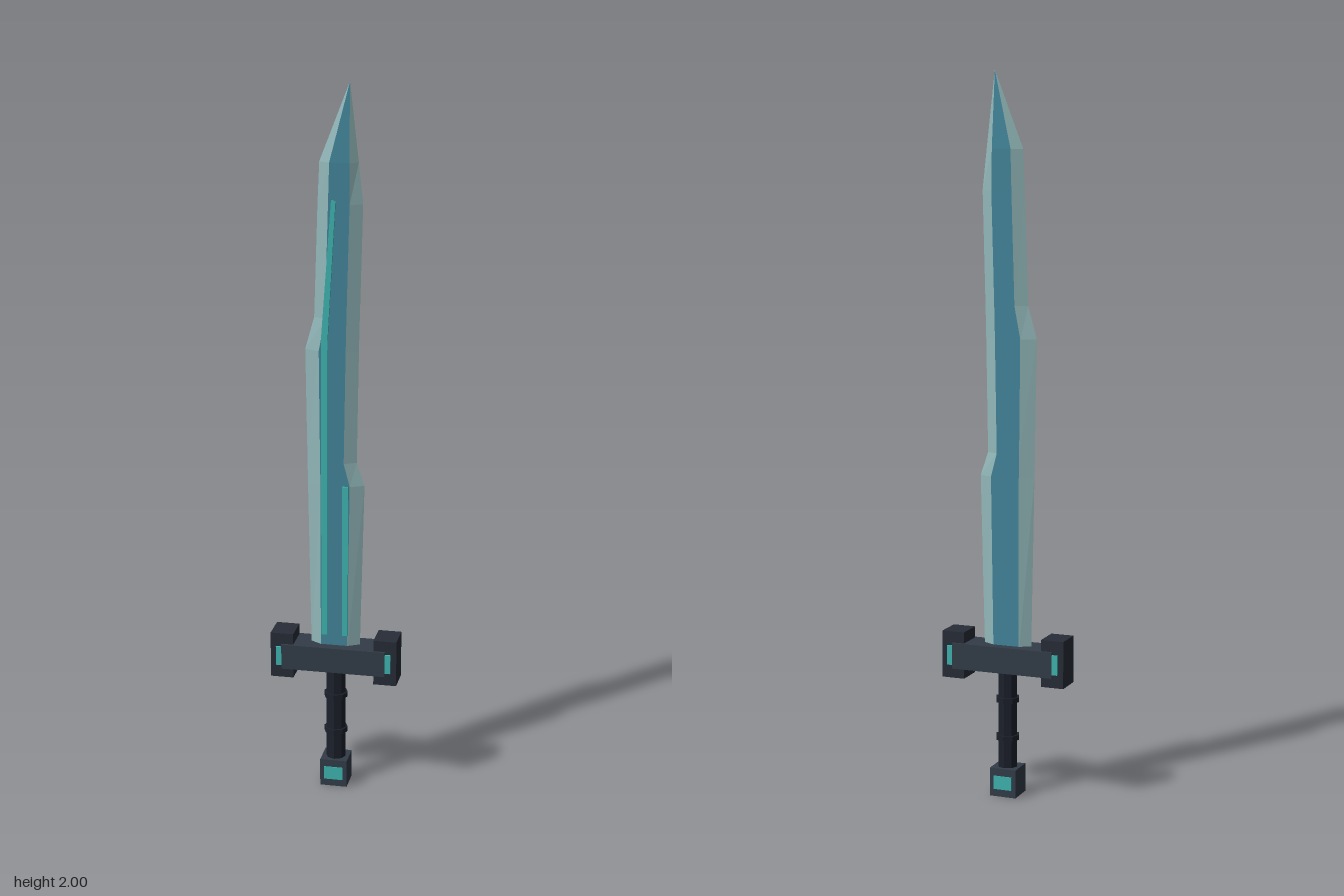
import * as THREE from 'three';

const material = (color) => new THREE.MeshStandardMaterial({ color, flatShading: true });
const edgeMat = material(0x93b8ba);
const coreMat = material(0x43859a);
const glowMat = material(0x3fb5b0);
const guardMat = material(0x323c48);
const blockMat = material(0x272d37);
const gripMat = material(0x1c212b);

function add(group, name, geometry, mat, x = 0, y = 0, z = 0) {
  const mesh = new THREE.Mesh(geometry, mat);
  mesh.name = name;
  mesh.position.set(x, y, z);
  group.add(mesh);
  return mesh;
}

function box(group, name, mat, [w, h, d], [x, y, z]) {
  return add(group, name, new THREE.BoxGeometry(w, h, d), mat, x, y, z);
}

// Blade sections: height, left edge, left ridge, right ridge, right edge, half thickness
const SECTIONS = [
  [0.40, -0.070, -0.040, 0.035, 0.068, 0.018],
  [0.90, -0.079, -0.040, 0.042, 0.080, 0.018],
  [0.965, -0.080, -0.041, 0.025, 0.058, 0.018],
  [1.28, -0.085, -0.044, 0.030, 0.063, 0.018],
  [1.37, -0.060, -0.027, 0.032, 0.065, 0.018],
  [1.68, -0.050, -0.018, 0.040, 0.073, 0.018],
  [1.79, -0.045, -0.015, 0.039, 0.061, 0.017],
  [2.00, 0.037, 0.037, 0.037, 0.037, 0],
];

// Six-sided ring, counter-clockwise seen from below
const ring = ([y, l, a, b, r, t]) => [
  [l, y, 0], [a, y, t], [b, y, t], [r, y, 0], [b, y, -t], [a, y, -t],
];

// Joins the given sides of neighbouring rings
function bladeFaces(sides) {
  const points = [];
  for (let i = 0; i < SECTIONS.length - 1; i++) {
    const low = ring(SECTIONS[i]);
    const high = ring(SECTIONS[i + 1]);
    for (const s of sides) {
      const n = (s + 1) % 6;
      points.push(low[s], low[n], high[n]);
      if (i < SECTIONS.length - 2) points.push(low[s], high[n], high[s]);
    }
  }
  const geometry = new THREE.BufferGeometry();
  geometry.setAttribute('position', new THREE.Float32BufferAttribute(points.flat(), 3));
  geometry.computeVertexNormals();
  return geometry;
}

function inlay(group, name, outline) {
  const shape = new THREE.Shape(outline.map(([x, y]) => new THREE.Vector2(x, y)));
  const geometry = new THREE.ExtrudeGeometry(shape, { depth: 0.009, bevelEnabled: false });
  add(group, name, geometry, glowMat, 0, 0, 0.014);
}

export function createModel() {
  const model = new THREE.Group();
  model.name = 'sword';

  // Blade: pale bevelled edges around a darker flat core
  const blade = new THREE.Group();
  blade.name = 'blade';
  add(blade, 'bladeEdges', bladeFaces([0, 2, 3, 5]), edgeMat);
  add(blade, 'bladeCore', bladeFaces([1, 4]), coreMat);
  inlay(blade, 'longInlay', [
    [-0.037, 0.46], [-0.019, 0.46], [-0.019, 1.31], [0.003, 1.69], [-0.009, 1.69], [-0.037, 1.31],
  ]);
  inlay(blade, 'shortInlay', [[0.022, 0.46], [0.038, 0.46], [0.038, 0.90], [0.022, 0.90]]);
  model.add(blade);

  // Crossguard with end blocks and lit slots
  const guard = new THREE.Group();
  guard.name = 'crossguard';
  box(guard, 'guardBar', guardMat, [0.296, 0.073, 0.094], [0, 0.392, 0]);
  for (const side of [1, -1]) {
    box(guard, 'guardBlock', blockMat, [0.065, 0.132, 0.08], [side * 0.1475, 0.394, 0]);
    box(guard, 'guardLight', glowMat, [0.016, 0.055, 0.092], [side * 0.156, 0.393, 0]);
  }
  model.add(guard);

  // Grip with two bands
  const grip = new THREE.Group();
  grip.name = 'grip';
  add(grip, 'gripShaft', new THREE.CylinderGeometry(0.028, 0.028, 0.3, 8), gripMat, 0, 0.217, 0);
  for (const y of [0.165, 0.273]) {
    add(grip, 'gripBand', new THREE.CylinderGeometry(0.034, 0.034, 0.014, 8), gripMat, 0, y, 0);
  }
  model.add(grip);

  // Pommel, lit on the front and back
  const pommel = new THREE.Group();
  pommel.name = 'pommel';
  box(pommel, 'pommelBlock', guardMat, [0.077, 0.08, 0.075], [0, 0.04, 0]);
  box(pommel, 'pommelLight', glowMat, [0.054, 0.038, 0.08], [0, 0.04, 0]);
  model.add(pommel);

  return model;
}
